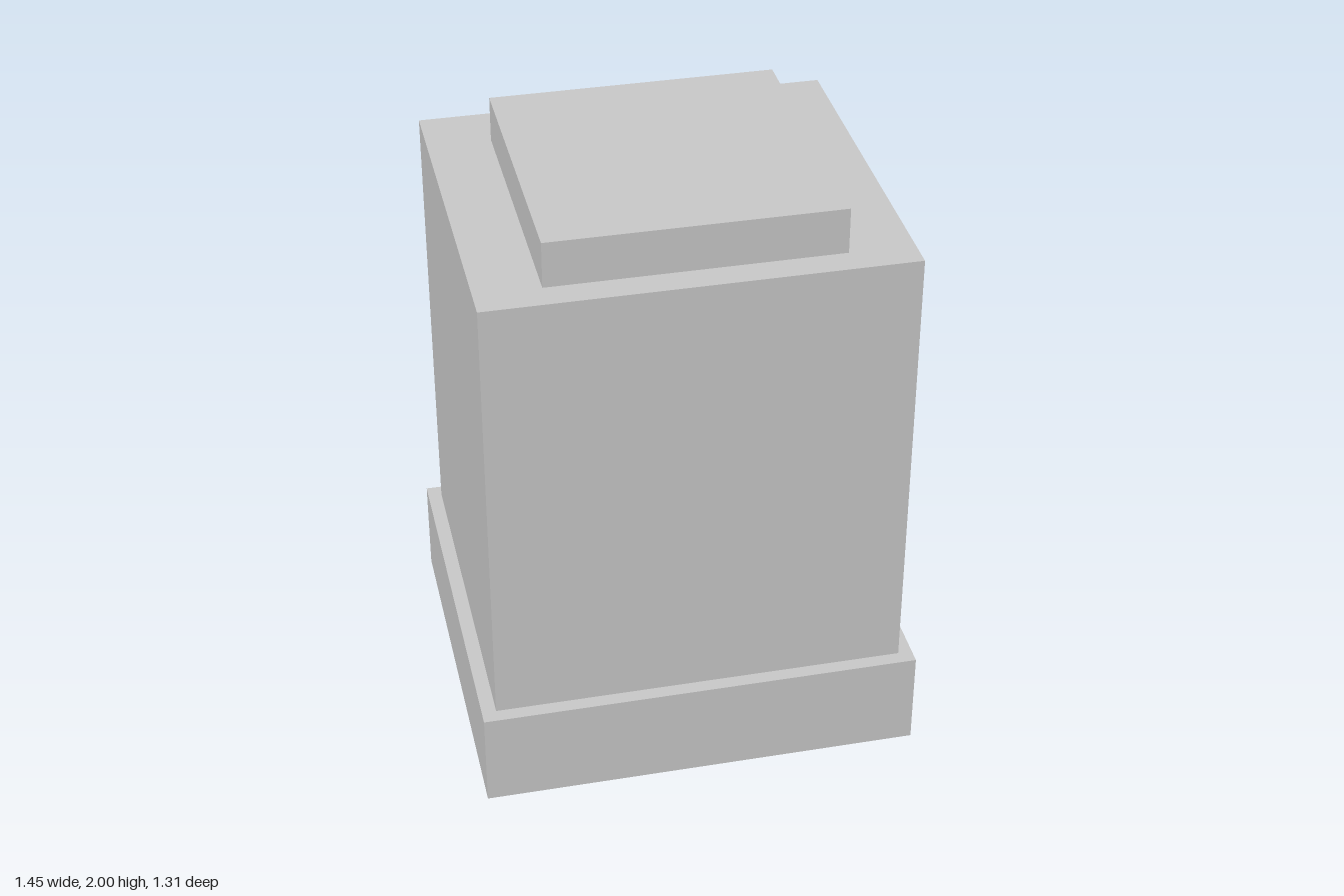
import * as THREE from 'three';

export function createModel() {
  const model = new THREE.Group();
  const material = new THREE.MeshStandardMaterial({ color: 0xcccccc, flatShading: true });

  // Adds a block spanning bottom..top in y, centred on x
  function addBlock(name, width, depth, bottom, top, z = 0) {
    const mesh = new THREE.Mesh(new THREE.BoxGeometry(width, top - bottom, depth), material);
    mesh.name = name;
    mesh.position.set(0, (bottom + top) / 2, z);
    model.add(mesh);
  }

  // Wide plinth, tall body, and a square cap set slightly forward
  addBlock('base', 1.447, 1.307, 0, 0.33);
  addBlock('body', 1.353, 1.213, 0.33, 1.848);
  addBlock('cap', 0.935, 0.935, 1.848, 2, 0.045);

  return model;
}
